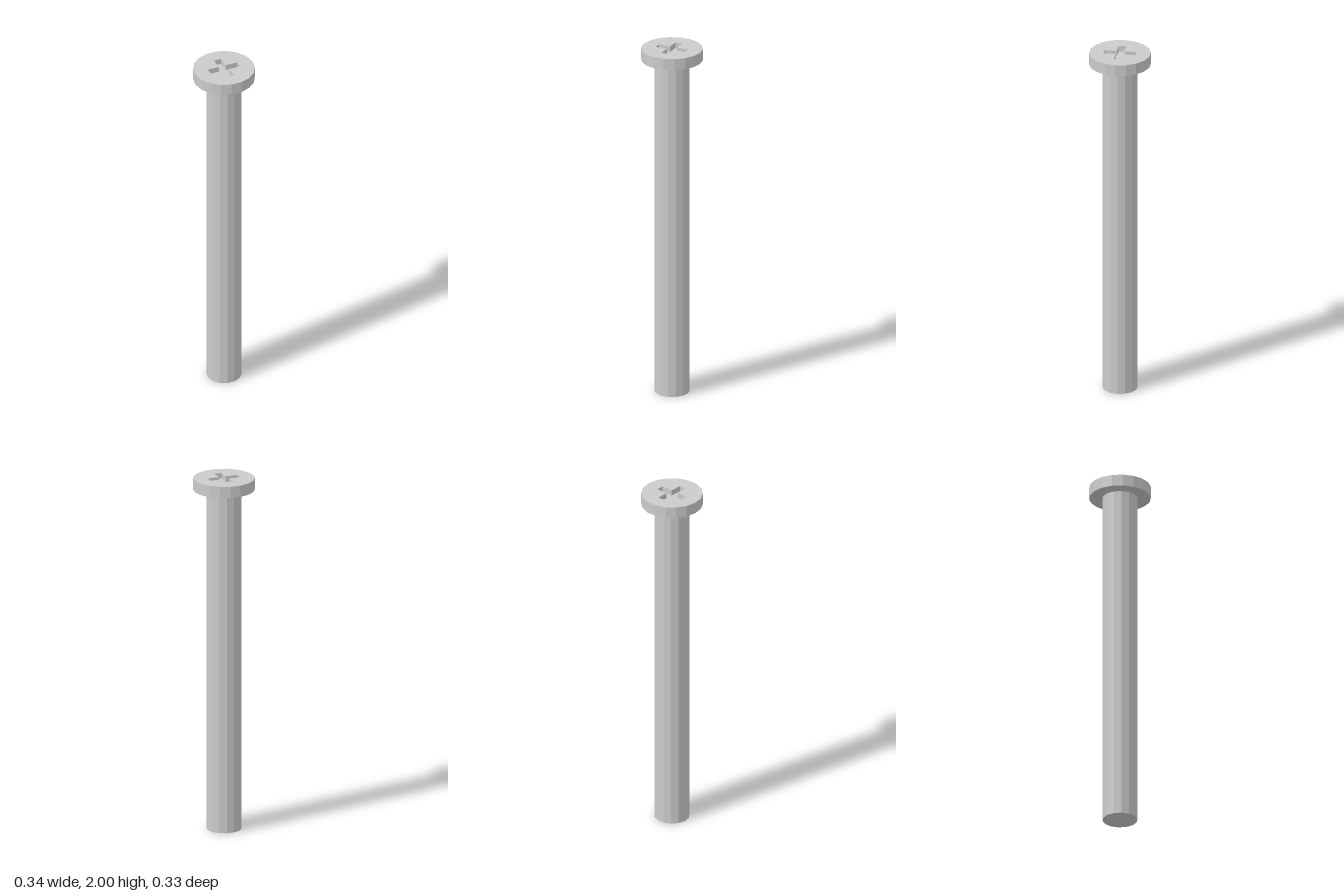
import * as THREE from 'three';

const TOP = 2, HEAD_BASE = 1.935, HEAD_R = 0.169, SHANK_R = 0.096;
const SLOT_L = 0.088, SLOT_W = 0.021, SLOT_DEPTH = 0.032;

const material = new THREE.MeshStandardMaterial({ color: 0xcccccc, flatShading: true });

function part(name, geometry, y = 0) {
  const mesh = new THREE.Mesh(geometry, material);
  mesh.name = name;
  mesh.position.y = y;
  return mesh;
}

// Faceted solid of revolution with one corner on the +x axis
function turned(profile, sides) {
  const points = profile.map(([r, y]) => new THREE.Vector2(r, y));
  return new THREE.LatheGeometry(points, sides, Math.PI / 2);
}

// Counter-clockwise outline of the cross, one quarter at a time
function crossOutline() {
  const points = [];
  for (let i = 0; i < 4; i++) {
    for (const [x, y] of [[SLOT_L, -SLOT_W], [SLOT_L, SLOT_W], [SLOT_W, SLOT_W]]) {
      points.push(new THREE.Vector2(x, y).rotateAround(new THREE.Vector2(), i * Math.PI / 2));
    }
  }
  return points;
}

// Inward-facing walls below an outline
function recessWalls(outline, depth) {
  const positions = [];
  outline.forEach((a, i) => {
    const b = outline[(i + 1) % outline.length];
    positions.push(b.x, b.y, -depth, a.x, a.y, -depth, a.x, a.y, 0);
    positions.push(b.x, b.y, -depth, a.x, a.y, 0, b.x, b.y, 0);
  });
  const geometry = new THREE.BufferGeometry();
  geometry.setAttribute('position', new THREE.Float32BufferAttribute(positions, 3));
  geometry.computeVertexNormals();
  return geometry.rotateX(-Math.PI / 2);
}

export function createModel() {
  const model = new THREE.Group();
  model.name = 'screw';

  // Plain shank with a flat end
  model.add(part('shank', turned([[0, 0], [SHANK_R, 0], [SHANK_R, HEAD_BASE]], 14)));

  // Head: underside and rim, then the top face pierced by the cross
  const head = new THREE.Group();
  head.name = 'head';
  head.add(part('headRim', turned([[0.085, HEAD_BASE], [HEAD_R, HEAD_BASE], [HEAD_R, TOP]], 18)));

  const outline = crossOutline();
  const face = new THREE.Shape(Array.from({ length: 18 }, (_, i) => {
    const a = i * Math.PI / 9;
    return new THREE.Vector2(HEAD_R * Math.cos(a), HEAD_R * Math.sin(a));
  }));
  face.holes.push(new THREE.Path(outline));
  head.add(part('headTop', new THREE.ShapeGeometry(face).rotateX(-Math.PI / 2), TOP));

  // Cross-shaped driver recess
  head.add(part('recessWalls', recessWalls(outline, SLOT_DEPTH), TOP));
  const floor = new THREE.ShapeGeometry(new THREE.Shape(outline)).rotateX(-Math.PI / 2);
  head.add(part('recessFloor', floor, TOP - SLOT_DEPTH));

  model.add(head);
  return model;
}
